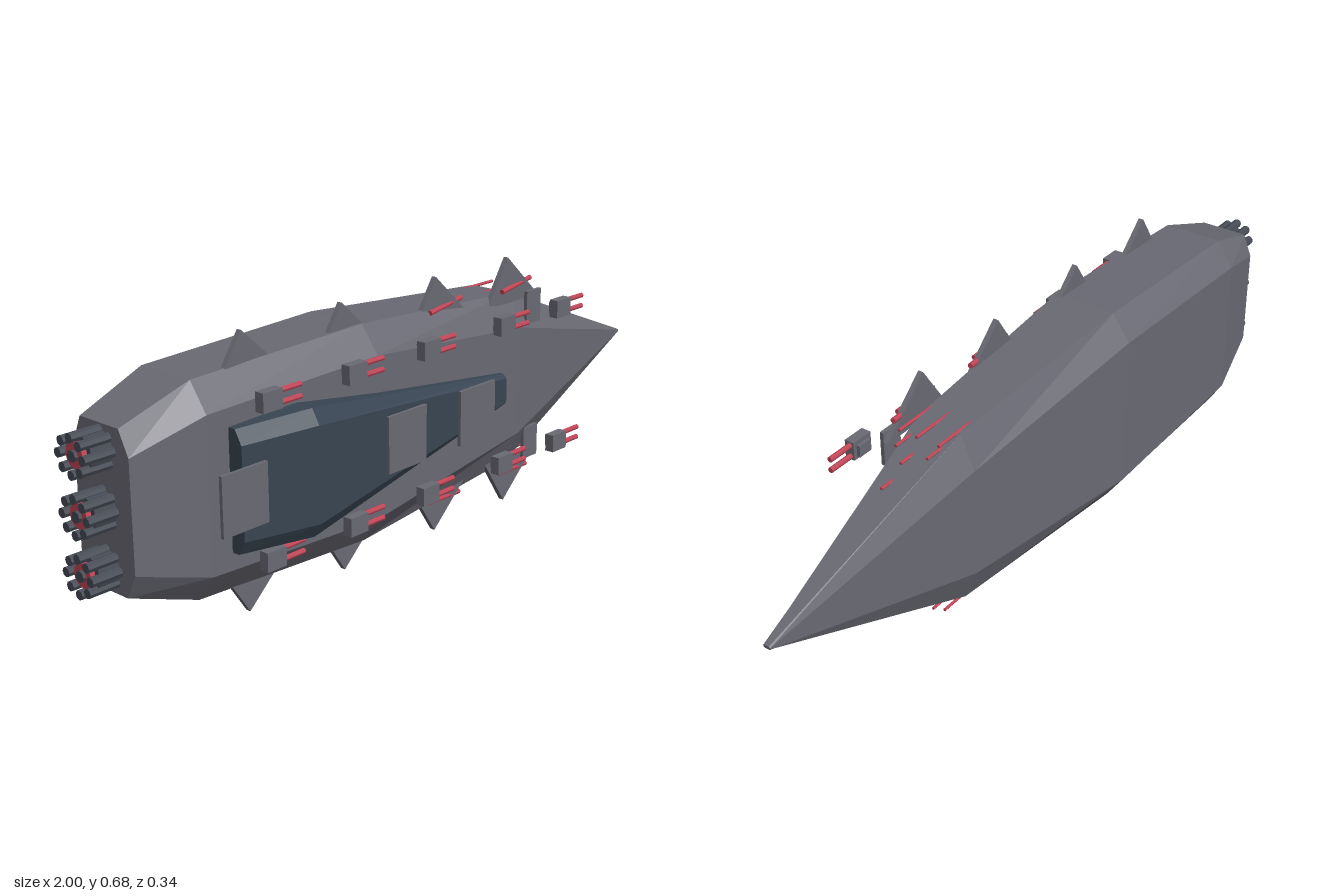
import * as THREE from 'three';

const CY = 0.342; // height of the ship's axis

const mat = (name, color) => {
  const m = new THREE.MeshStandardMaterial({ color });
  m.name = name;
  m.flatShading = true;
  return m;
};

// Chamfered eight-sided cross-section: half height, back z, front z, chamfers
const ring = ([x, h, b, f, c, cb, cf]) => [
  [h, b + cb], [h, f - cf], [h - c, f], [c - h, f],
  [-h, f - cf], [-h, b + cb], [c - h, b], [h - c, b],
].map(([y, z]) => [x, y + CY, z]);

// Skin a row of cross-sections running toward +x and cap both ends
function loft(stations) {
  const rings = stations.map(ring);
  const pos = [];
  const tri = (...pts) => pts.forEach((p) => pos.push(...p));
  for (let i = 0; i < rings.length - 1; i++) {
    for (let j = 0; j < 8; j++) {
      const k = (j + 1) % 8;
      const [a, b, c, d] = [rings[i][j], rings[i][k], rings[i + 1][k], rings[i + 1][j]];
      tri(a, b, d);
      tri(b, c, d);
    }
  }
  const first = rings[0], last = rings[rings.length - 1];
  for (let j = 1; j < 7; j++) {
    tri(first[0], first[j + 1], first[j]);
    tri(last[0], last[j], last[j + 1]);
  }
  const g = new THREE.BufferGeometry();
  g.setAttribute('position', new THREE.Float32BufferAttribute(pos, 3));
  g.computeVertexNormals();
  return g;
}

export function createModel() {
  const ship = new THREE.Group();
  ship.name = 'warship';
  const grey = mat('hullGrey', 0x6a6a74);
  const blue = mat('bridgeBlue', 0x384552);
  const red = mat('gunRed', 0xc04456);
  const dark = mat('engineDark', 0x454a54);

  const add = (name, geo, material, parent = ship) => {
    const m = new THREE.Mesh(geo, material);
    m.name = name;
    parent.add(m);
    return m;
  };
  const box = (name, x0, x1, y0, y1, z0, z1, material) =>
    add(name, new THREE.BoxGeometry(x1 - x0, y1 - y0, z1 - z0), material)
      .position.set((x0 + x1) / 2, (y0 + y1) / 2, (z0 + z1) / 2);
  // Cylinder between two points
  const rod = (name, a, b, r, material, sides = 8) => {
    const p = new THREE.Vector3(...a), q = new THREE.Vector3(...b);
    const dir = q.clone().sub(p);
    const m = add(name, new THREE.CylinderGeometry(r, r, dir.length(), sides), material);
    m.position.copy(p).add(q).multiplyScalar(0.5);
    m.quaternion.setFromUnitVectors(new THREE.Vector3(0, 1, 0), dir.normalize());
  };

  // Hull: blunt stern, long needle bow
  add('hull', loft([
    [-0.92, 0.195, -0.13, 0.055, 0.06, 0.025, 0.03],
    [-0.73, 0.261, -0.17, 0.088, 0.07, 0.045, 0.05],
    [-0.2, 0.28, -0.172, 0.1, 0.07, 0.05, 0.05],
    [0.4, 0.239, -0.137, 0.065, 0.09, 0.037, 0.04],
    [1, 0.004, -0.045, -0.025, 0.002, 0.004, 0.004],
  ]), grey);

  // Raised bridge on the deck
  add('bridge', loft([
    [-0.67, 0.149, 0.05, 0.13, 0.035, 0.005, 0.02],
    [-0.47, 0.157, 0.05, 0.171, 0.037, 0.005, 0.022],
    [0.31, 0.044, 0.04, 0.093, 0.011, 0.005, 0.012],
  ]), blue);

  // Deck plates along the bridge
  for (let i = 0; i < 4; i++) {
    const x = -0.688 + i * 0.266;
    box('deckPlate', x - 0.068, x + 0.068, 0.271, 0.416, 0.15, 0.159, grey);
  }

  // Everything below is mirrored above and below the axis
  for (const s of [1, -1]) {
    const Y = (y) => CY + s * (y - CY);
    const span = (y0, y1) => [Math.min(Y(y0), Y(y1)), Math.max(Y(y0), Y(y1))];

    // Twin-barrel deck turrets
    for (const x of [-0.565, -0.29, -0.025, 0.275, 0.515]) {
      box('turret', x - 0.03, x + 0.03, ...span(0.509, 0.557), 0.097, 0.123, grey);
      box('turretBase', x - 0.02, x + 0.02, ...span(0.516, 0.546), 0.088, 0.098, grey);
      for (const y of [0.518, 0.547])
        rod('turretBarrel', [x, Y(y), 0.108], [x + 0.1, Y(y), 0.108], 0.007, red);
    }

    // Edge fins
    for (const x of [-0.58, -0.26, 0.08, 0.37]) {
      const fin = new THREE.Shape([
        new THREE.Vector2(x - 0.082, Y(0.56)),
        new THREE.Vector2(x + 0.135, Y(0.56)),
        new THREE.Vector2(x, Y(0.684)),
      ]);
      add('fin', new THREE.ExtrudeGeometry(fin, { depth: 0.014, bevelEnabled: false }), grey)
        .position.z = 0.028;
    }

    // Bow shield plate
    box('bowPlate', 0.44, 0.5, ...span(0.49, 0.58), 0.045, 0.055, grey);

    // Slightly canted barrels beside the forward fins
    for (const x of [0.05, 0.34])
      rod('finBarrel', [x, Y(0.597), 0.048], [x + 0.14, Y(0.609), 0.031], 0.007, red);

    // Forward broadside guns: end x, y, z
    for (const [x, y, z] of [
      [0.47, 0.581, -0.09], [0.47, 0.581, -0.027], [0.47, 0.581, 0.023],
      [0.5, 0.56, 0.01], [0.5, 0.56, -0.08],
      [0.53, 0.544, -0.028], [0.6, 0.515, -0.028],
    ]) rod('bowGun', [x - 0.2, Y(y), z], [x, Y(y), z], 0.004, red, 6);
  }

  // Three engine clusters at the stern
  for (const y of [CY - 0.138, CY, CY + 0.138]) {
    const z = -0.04;
    rod('engineBody', [-0.975, y, z], [-0.9, y, z], 0.044, dark, 12);
    rod('engineCore', [-0.988, y, z], [-0.95, y, z], 0.03, red, 12);
    rod('engineNozzle', [-0.996, y, z], [-0.95, y, z], 0.014, dark, 8);
    for (let i = 0; i < 8; i++) {
      const a = (i * Math.PI) / 4;
      const py = y + Math.cos(a) * 0.042, pz = z + Math.sin(a) * 0.042;
      rod('engineThruster', [-1, py, pz], [-0.91, py, pz], 0.012, dark, 8);
    }
  }
  return ship;
}
